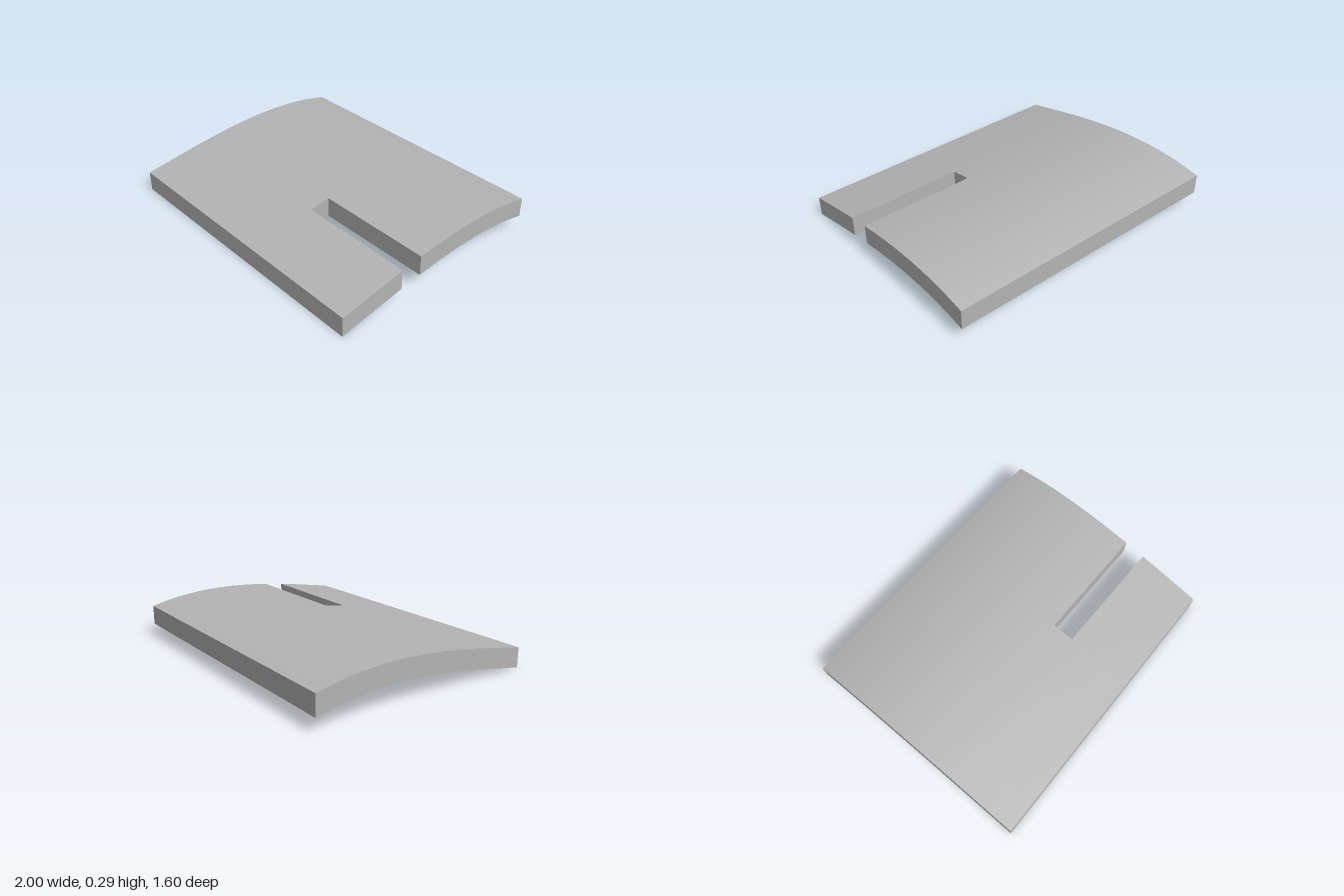
import * as THREE from 'three';
import { mergeGeometries } from 'three/addons/utils/BufferGeometryUtils.js';
import { ParametricGeometry } from 'three/addons/geometries/ParametricGeometry.js';

const HALF_DEPTH = 0.8, SLOT_X = 0.2, SLOT_BACK = 0.178, SLOT_FRONT = 0.326;
const lerp = THREE.MathUtils.lerp;

// The arched section shrinks slightly towards +x
const taper = x => 1 - 0.015 * (x + 1);
const edge = x => HALF_DEPTH * taper(x);
const topY = (x, z) => {
  const d = z / taper(x) + 0.3;
  return 0.288 - 0.005 * (x + 1) - taper(x) * (0.1895 * d * d - 0.061 * d * d * d);
};
const bottomY = (x, z) => topY(x, z) - 0.137 * taper(x);

// Curved skin over x0..x1, between two z borders that may vary with x
function skin(height, x0, x1, zBack, zFront, rows, down) {
  return new ParametricGeometry((u, v, p) => {
    const x = lerp(x0, x1, v);
    const z = lerp(zBack(x), zFront(x), down ? 1 - u : u);
    p.set(x, height(x, z), z);
  }, rows, 6);
}

// Upright wall from bottom skin to top skin along one side of the outline
function wall([x0, z0], [x1, z1]) {
  return new ParametricGeometry((u, v, p) => {
    const x = lerp(x0, x1, u), z = lerp(z0, z1, u);
    p.set(x, lerp(bottomY(x, z), topY(x, z), v), z);
  }, 32, 1);
}

export function createModel() {
  const group = new THREE.Group();
  group.name = 'slottedCurvedPanel';
  const grey = new THREE.MeshStandardMaterial({ color: 0xb4b4b4 });
  grey.name = 'plain grey';
  const add = (name, parts) => {
    const mesh = new THREE.Mesh(mergeGeometries(parts), grey);
    mesh.name = name;
    group.add(mesh);
  };

  // Upper and lower skins, leaving the slot open
  const back = x => -edge(x), slotBack = () => SLOT_BACK, slotFront = () => SLOT_FRONT;
  for (const [name, height, down] of [['topSurface', topY, false], ['underside', bottomY, true]]) {
    add(name, [
      skin(height, -1, SLOT_X, back, slotBack, 32, down),
      skin(height, -1, SLOT_X, slotBack, slotFront, 6, down),
      skin(height, -1, SLOT_X, slotFront, edge, 16, down),
      skin(height, SLOT_X, 1, back, slotBack, 32, down),
      skin(height, SLOT_X, 1, slotFront, edge, 16, down),
    ]);
  }

  // Outer sides and slot sides, walked around the outline
  const outline = [
    [-1, edge(-1)], [1, edge(1)], [1, SLOT_FRONT], [SLOT_X, SLOT_FRONT],
    [SLOT_X, SLOT_BACK], [1, SLOT_BACK], [1, -edge(1)], [-1, -edge(-1)],
  ];
  const sides = outline.map((p, i) => wall(p, outline[(i + 1) % outline.length]));
  add('outerSides', [0, 1, 5, 6, 7].map(i => sides[i]));
  add('slotSides', [2, 3, 4].map(i => sides[i]));
  return group;
}
